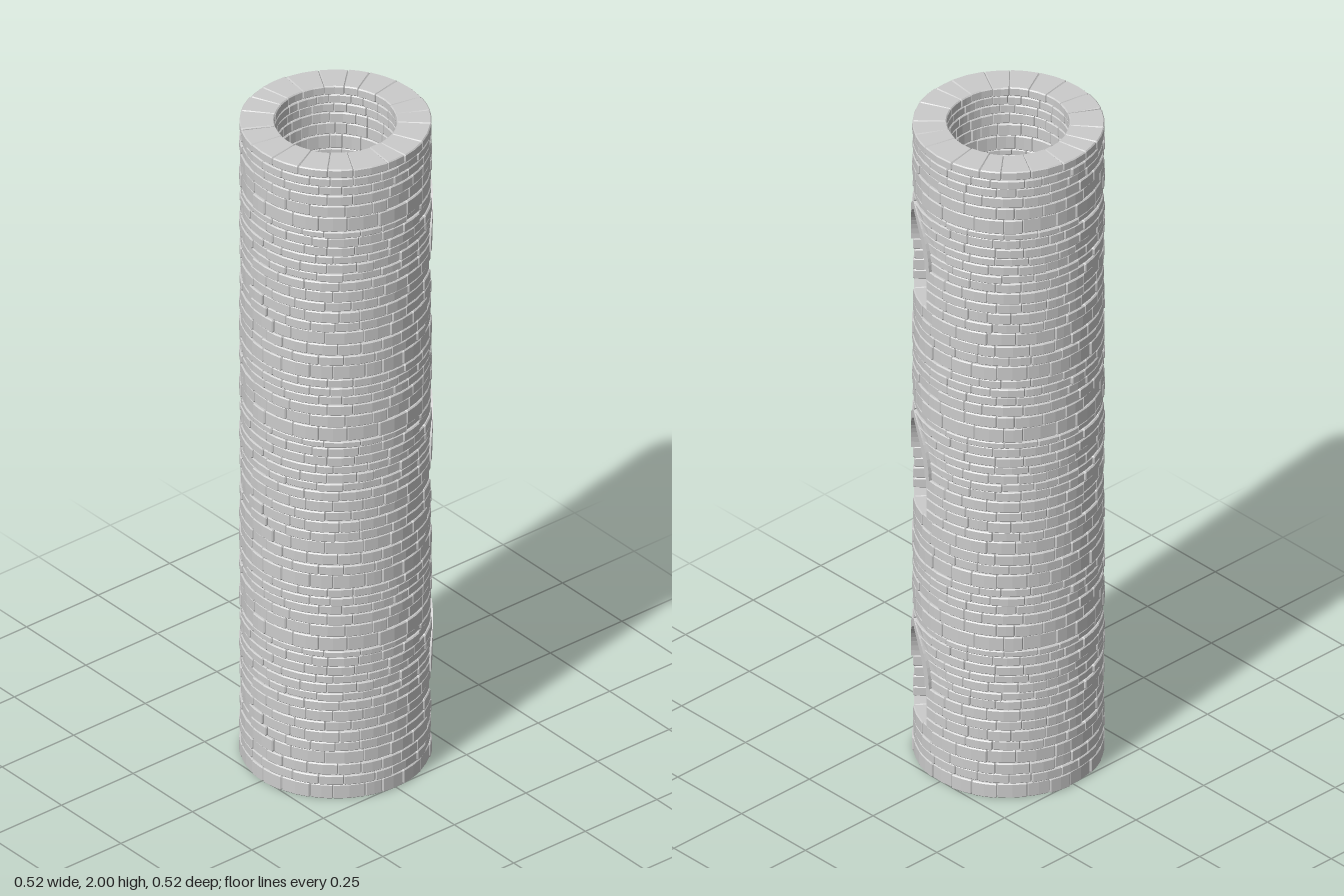
import * as THREE from 'three';

const SECTION = 2 / 3, MID_R = 0.26, FACING = Math.PI / 6;
const SILL = 0.15, SPRING = 0.28, APEX = 0.45, TRIM = 0.021, ARCH_HALF = 0.1;
const ARCH_R = (ARCH_HALF ** 2 + (APEX - SPRING) ** 2) / (2 * ARCH_HALF);
// course heights of one section, bottom to top
const COURSES = [
  0.045, 0.03, 0.035, 0.04,
  0.03, 0.035, 0.03, 0.035,
  0.03, 0.025, 0.03, 0.025, 0.03, 0.03,
  0.02, 0.045, 0.037, 0.033, 0.028, 0.027, 0.0267,
];

let seed = 7;
function rand(lo, hi) {
  seed = (seed * 16807) % 2147483647;
  return lo + (hi - lo) * seed / 2147483647;
}

// point at radius r, height y, angle u measured from the window axis
const polar = (r, y, u) => [r * Math.cos(FACING + u), y, r * Math.sin(FACING + u)];

// closed solid through a list of equal-length loops
function loft(out, loops, flip = false) {
  const tri = (a, b, c) => (flip ? out.push(...a, ...c, ...b) : out.push(...a, ...b, ...c));
  const n = loops[0].length, last = loops[loops.length - 1];
  for (let s = 0; s < loops.length - 1; s++) {
    const A = loops[s], B = loops[s + 1];
    for (let i = 0; i < n; i++) {
      const j = (i + 1) % n;
      tri(A[i], A[j], B[j]);
      tri(A[i], B[j], B[i]);
    }
  }
  for (let i = 1; i < n - 1; i++) {
    tri(last[0], last[i], last[i + 1]);
    tri(loops[0][0], loops[0][i + 1], loops[0][i]);
  }
}

function toGeometry(out) {
  const g = new THREE.BufferGeometry();
  g.setAttribute('position', new THREE.Float32BufferAttribute(out, 3));
  g.computeVertexNormals();
  return g;
}

// curved, bevelled stone running through the wall; its ends are functions of y
function addStone(out, y0, y1, from, to) {
  const c = 0.003, r0 = 0.165 + rand(-0.002, 0.002), r1 = 0.257 + rand(-0.003, 0.003);
  const section = (d) => {
    const a = r0 + d, b = r1 - d, p = y0 + d, q = y1 - d;
    return [[a + c, p], [b - c, p], [b, p + c], [b, q - c], [b - c, q], [a + c, q], [a, q - c], [a, p + c]];
  };
  const width = to(y0) - from(y0), e = Math.min(0.012 / width, 0.2);
  const loops = [[0, c], [e, 0], [0.5, 0], [1 - e, 0], [1, c]].map(([t, d]) =>
    section(d).map(([r, y]) => polar(r, y, from(y) + (to(y) - from(y)) * t)));
  loft(out, loops);
}

// fills an arc of one course with stones of uneven length
function addArc(out, y0, y1, start, end) {
  const ym = (y0 + y1) / 2, a = start(ym), b = end(ym);
  const n = Math.max(1, Math.round((b - a) / rand(0.27, 0.33)));
  const joints = [start];
  for (let i = 1; i < n; i++) {
    const u = a + (b - a) * (i + rand(-0.22, 0.22)) / n;
    joints.push(() => u);
  }
  joints.push(end);
  for (let i = 0; i < n; i++) addStone(out, y0, y1, joints[i], joints[i + 1]);
}

// half angle of the cut left for the arch trim at height y
function archCut(y) {
  const h = Math.min(Math.max(y - SPRING, 0), APEX - SPRING);
  return Math.max(0, Math.sqrt(ARCH_R ** 2 - h * h) - (ARCH_R - ARCH_HALF)) / MID_R;
}

function buildStones() {
  const out = [];
  let y = 0;
  COURSES.forEach((h, row) => {
    const y0 = y, y1 = (y += h), ym = y0 + h / 2;
    // toothed seam behind the window
    const shift = (row % 2 ? 0.025 : -0.025), gap = 0.012;
    const a = () => -Math.PI + shift + gap;
    const b = () => Math.PI + shift - gap;
    if (ym < SILL || ym > APEX) {
      addArc(out, y0, y1, a, b);
    } else {
      const cut = ym < SPRING ? () => (ARCH_HALF - TRIM) / MID_R : archCut;
      addArc(out, y0, y1, a, (v) => -cut(v));
      addArc(out, y0, y1, cut, b);
    }
  });
  return toGeometry(out);
}

// pointed arch: two curved ribs meeting at the apex
function buildArch() {
  const out = [], steps = 10, cx = ARCH_R - ARCH_HALF, r0 = 0.164, r1 = 0.262;
  const curve = (R, t, side) => {
    const th = Math.acos(cx / R) * t;
    return [SPRING + R * Math.sin(th), side * (R * Math.cos(th) - cx) / MID_R];
  };
  for (const side of [1, -1]) {
    const loops = [];
    for (let i = 0; i <= steps; i++) {
      const inner = curve(ARCH_R - TRIM, i / steps, side);
      const outer = curve(ARCH_R, i / steps, side);
      loops.push([polar(r0, ...inner), polar(r1, ...inner), polar(r1, ...outer), polar(r0, ...outer)]);
    }
    loft(out, loops, side > 0);
  }
  return toGeometry(out);
}

export function createModel() {
  seed = 7;
  const tower = new THREE.Group();
  tower.name = 'tower';
  const material = new THREE.MeshStandardMaterial({ color: 0xcccccc, flatShading: true });
  const parts = { wallStones: buildStones(), windowArch: buildArch() };
  // three identical stacked sections
  for (let i = 0; i < 3; i++) {
    const section = new THREE.Group();
    section.name = `towerSection${i + 1}`;
    section.position.y = i * SECTION;
    for (const [name, geometry] of Object.entries(parts)) {
      const mesh = new THREE.Mesh(geometry, material);
      mesh.name = name;
      section.add(mesh);
    }
    tower.add(section);
  }
  return tower;
}
